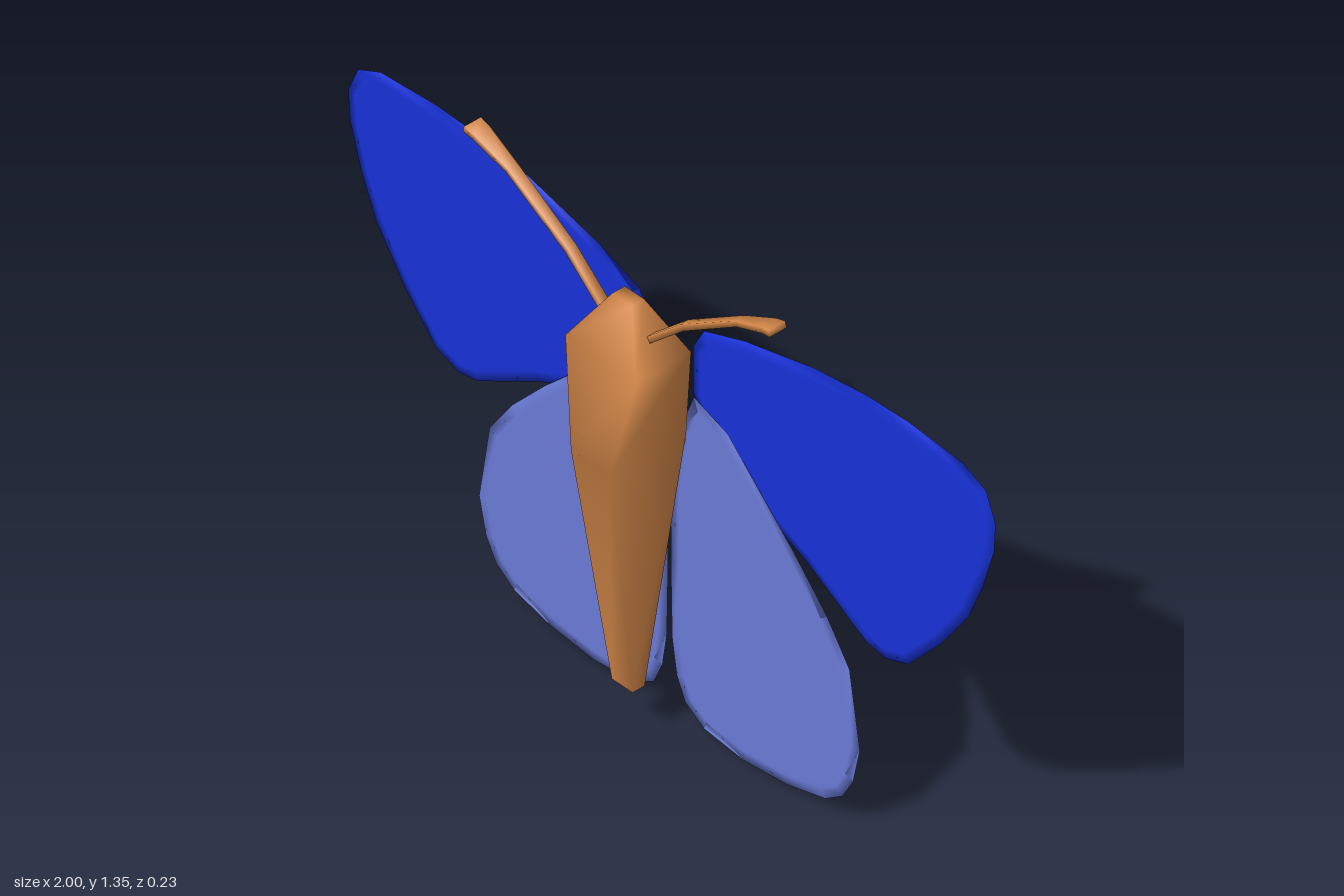
import * as THREE from 'three';
import { mergeVertices } from 'three/addons/utils/BufferGeometryUtils.js';

const material = (color) => new THREE.MeshStandardMaterial({ color });

// Closed skin over rings of four corners, shaded smoothly
function loft(rings) {
  const n = rings[0].length, pos = [], index = [];
  rings.forEach((ring) => ring.forEach((p) => pos.push(p.x, p.y, p.z)));
  for (let r = 0; r < rings.length - 1; r++) {
    for (let i = 0; i < n; i++) {
      const a = r * n + i, b = r * n + (i + 1) % n;
      index.push(a, b, b + n, a, b + n, a + n);
    }
  }
  const last = (rings.length - 1) * n;
  for (let i = 1; i < n - 1; i++) {
    index.push(0, i + 1, i, last, last + i, last + i + 1);
  }
  const g = new THREE.BufferGeometry();
  g.setAttribute('position', new THREE.Float32BufferAttribute(pos, 3));
  g.setIndex(index);
  g.computeVertexNormals();
  return g;
}

// Rectangular ring round a centre, spanned by two half-axes
function ringAt(c, u, v) {
  return [[1, 1], [-1, 1], [-1, -1], [1, -1]].map(([a, b]) =>
    c.clone().addScaledVector(u, a).addScaledVector(v, b));
}

// Thin plate whose wide, shallow bevel softens the shading of its rim
function wingGeometry(points, side, z, half) {
  const shape = new THREE.Shape(points.map(([x, y]) => new THREE.Vector2(x * side, y)));
  const g = new THREE.ExtrudeGeometry(shape, {
    depth: 0.00001, bevelEnabled: true, bevelSegments: 1,
    bevelSize: 0.025, bevelOffset: -0.025, bevelThickness: half,
  });
  g.deleteAttribute('normal');
  g.deleteAttribute('uv');
  g.translate(0, 0, z);
  const merged = mergeVertices(g, 0.0001);
  merged.computeVertexNormals();
  return merged;
}

const UPPER = [
  [0.065, 1.0], [0.1, 1.06], [0.225, 1.105], [0.44, 1.157], [0.6, 1.178], [0.73, 1.182],
  [0.9, 1.17], [0.97, 1.137], [1.0, 1.067], [0.995, 0.99], [0.96, 0.875], [0.915, 0.77],
  [0.83, 0.65], [0.73, 0.54], [0.66, 0.515], [0.6, 0.525], [0.41, 0.633], [0.22, 0.715],
  [0.12, 0.78], [0.065, 0.88],
];
const LOWER = [
  [0.075, 0.875], [0.18, 0.837], [0.385, 0.64], [0.487, 0.53], [0.556, 0.43], [0.588, 0.233],
  [0.567, 0.14], [0.535, 0.083], [0.48, 0.045], [0.364, 0.015], [0.23, 0.002], [0.107, 0.015],
  [0.048, 0.052], [0.022, 0.11], [0.008, 0.2], [0.004, 0.4], [0.005, 0.6], [0.03, 0.76],
];

export function createModel() {
  const model = new THREE.Group();
  const add = (name, geometry, mat) => {
    const mesh = new THREE.Mesh(geometry, mat);
    mesh.name = name;
    model.add(mesh);
  };
  const brown = material(0xd88a4a);
  const deepBlue = material(0x1832d8);
  const paleBlue = material(0x6a7ad6);

  // Body: tapering four-sided form; each row is y, half width, half depth, z
  const X = new THREE.Vector3(1, 0, 0), Z = new THREE.Vector3(0, 0, -1);
  const bodyRings = [
    [0.138, 0.032, 0.017, 0.008],
    [0.775, 0.06, 0.108, 0.007],
    [1.035, 0.11, 0.077, 0.008],
    [1.16, 0.03, 0.018, 0.008],
  ].map(([y, w, d, z]) => ringAt(new THREE.Vector3(0, y, z),
    X.clone().multiplyScalar(w), Z.clone().multiplyScalar(d)));
  add('body', loft(bodyRings), brown);

  // Antenna rows: x, y, z, half thickness, half depth
  const antenna = [
    [0.05, 1.07, 0.006, 0.008, 0.012],
    [0.178, 1.185, 0.008, 0.008, 0.012],
    [0.353, 1.3, 0.014, 0.007, 0.014],
    [0.445, 1.342, 0.017, 0.008, 0.022],
    [0.472, 1.349, 0.018, 0.008, 0.024],
  ];

  for (const side of [1, -1]) {
    const label = side > 0 ? 'left' : 'right';
    add(label + 'UpperWing', wingGeometry(UPPER, side, -0.116, 0.003), deepBlue);
    add(label + 'LowerWing', wingGeometry(LOWER, side, -0.109, 0.0015), paleBlue);

    const rings = antenna.map(([x, y, z, t, d], i) => {
      const a = antenna[Math.max(i - 1, 0)], b = antenna[Math.min(i + 1, antenna.length - 1)];
      const along = new THREE.Vector3((b[0] - a[0]) * side, b[1] - a[1], 0).normalize();
      const across = new THREE.Vector3(along.y, -along.x, 0);
      return ringAt(new THREE.Vector3(x * side, y, z),
        across.multiplyScalar(t), new THREE.Vector3(0, 0, -d));
    });
    add(label + 'Antenna', loft(rings), brown);
  }
  return model;
}
